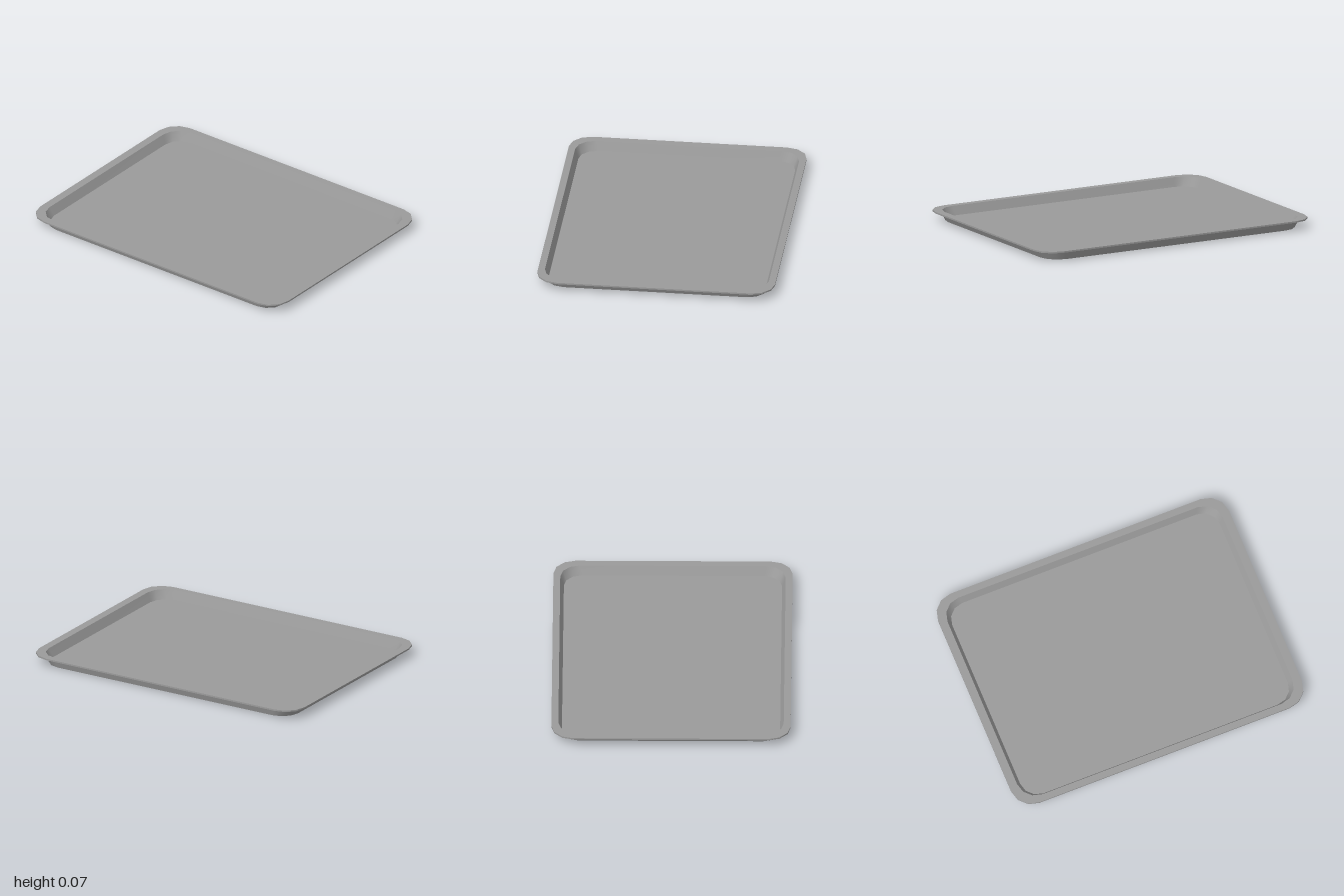
import * as THREE from 'three';

const CORNER_STEPS = 3;
const material = new THREE.MeshStandardMaterial({ color: 0x9b9b9b });

// Rounded-rectangle outline as [x, z] points: half width, half depth, corner radius
function outline({ hx, hz, r }) {
  const points = [];
  for (let corner = 0; corner < 4; corner++) {
    const sx = corner === 0 || corner === 3 ? 1 : -1;
    const sz = corner < 2 ? 1 : -1;
    for (let i = 0; i <= CORNER_STEPS; i++) {
      const a = (corner + i / CORNER_STEPS) * Math.PI / 2;
      points.push([sx * (hx - r) + r * Math.cos(a), sz * (hz - r) + r * Math.sin(a)]);
    }
  }
  return points;
}

// Strip of faces joining two rings, smooth around the loop and sharp at its edges
function band(name, from, to) {
  const a = outline(from), b = outline(to), n = a.length;
  const positions = [], index = [];
  a.forEach(([x, z]) => positions.push(x, from.y, z));
  b.forEach(([x, z]) => positions.push(x, to.y, z));
  for (let i = 0; i < n; i++) {
    const j = (i + 1) % n;
    index.push(i, n + i, j, j, n + i, n + j);
  }
  const geometry = new THREE.BufferGeometry();
  geometry.setAttribute('position', new THREE.Float32BufferAttribute(positions, 3));
  geometry.setIndex(index);
  geometry.computeVertexNormals();
  const mesh = new THREE.Mesh(geometry, material);
  mesh.name = name;
  return mesh;
}

// Flat panel filling a ring, facing up (1) or down (-1)
function panel(name, ring, facing) {
  const shape = new THREE.Shape(outline(ring).map(([x, z]) => new THREE.Vector2(x, z)));
  const geometry = new THREE.ShapeGeometry(shape);
  geometry.rotateX(-facing * Math.PI / 2);
  geometry.translate(0, ring.y, 0);
  const mesh = new THREE.Mesh(geometry, material);
  mesh.name = name;
  return mesh;
}

export function createModel() {
  const tray = new THREE.Group();
  tray.name = 'tray';

  // Cross-section rings, from the underside out around the rim and into the floor
  const base = { hx: 0.928, hz: 0.708, r: 0.12, y: 0 };
  const wallTop = { hx: 0.957, hz: 0.728, r: 0.13, y: 0.057 };
  const rimLower = { hx: 1, hz: 0.763, r: 0.14, y: 0.057 };
  const rimUpper = { ...rimLower, y: 0.067 };
  const mouth = { hx: 0.947, hz: 0.719, r: 0.125, y: 0.067 };
  const floor = { hx: 0.92, hz: 0.696, r: 0.115, y: 0.009 };

  tray.add(
    panel('underside', base, -1),
    band('outerWall', base, wallTop),
    band('rimUnderside', wallTop, rimLower),
    band('rimEdge', rimLower, rimUpper),
    band('rimTop', rimUpper, mouth),
    band('innerWall', mouth, floor),
    panel('floor', floor, 1),
  );
  return tray;
}
